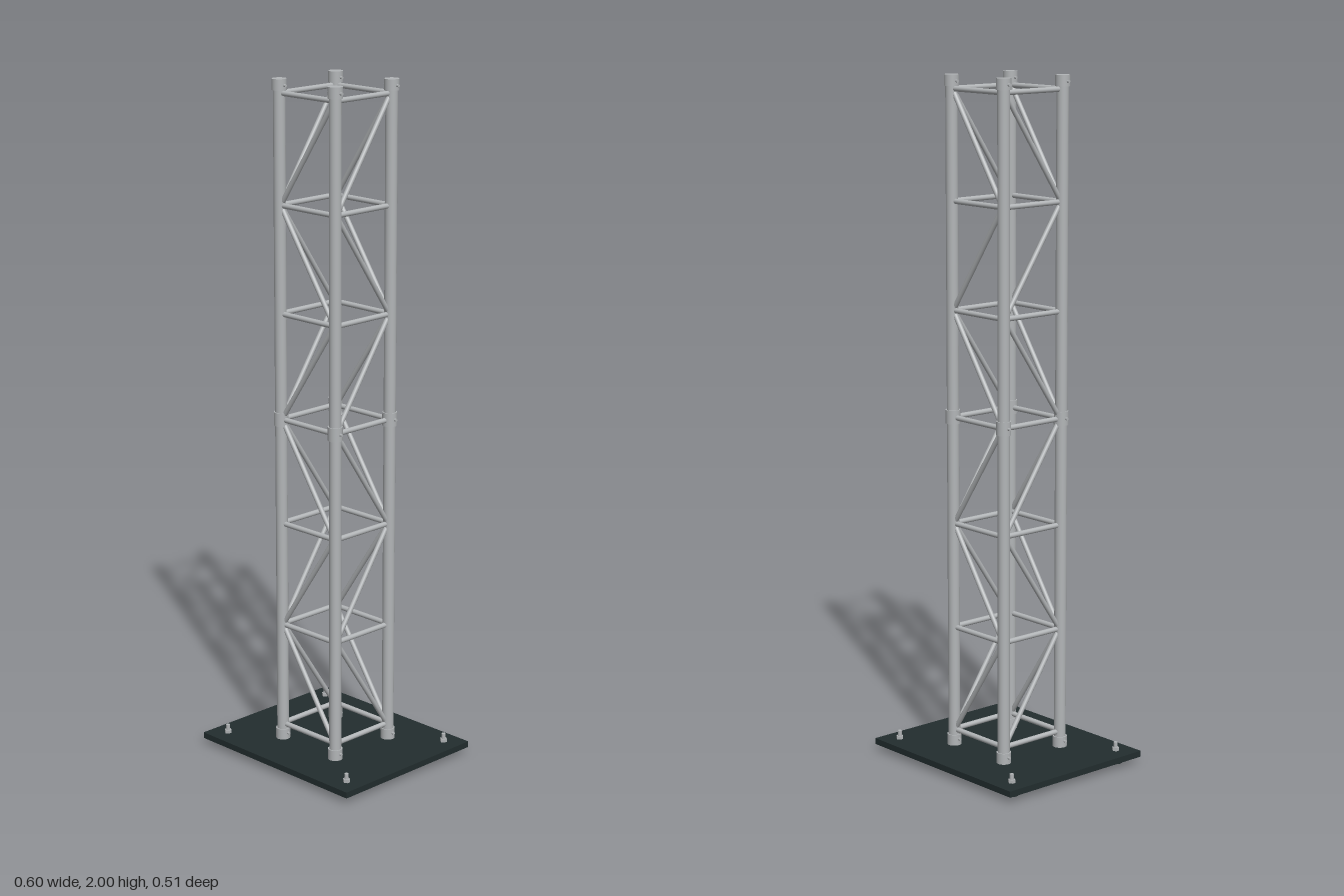
import * as THREE from 'three';

export function createModel() {
  const root = new THREE.Group();
  root.name = 'trussTower';
  const material = (name, color) => {
    const m = new THREE.MeshStandardMaterial({ color });
    m.name = name;
    return m;
  };
  const aluminium = material('aluminium', 0xb2b5b7);
  const darkSteel = material('dark steel', 0x222d2e);

  const group = (name) => {
    const g = new THREE.Group();
    g.name = name;
    root.add(g);
    return g;
  };

  // Round or hexagonal bar between two points
  const up = new THREE.Vector3(0, 1, 0);
  function bar(parent, name, a, b, radius, sides = 16, mat = aluminium) {
    const start = new THREE.Vector3(...a);
    const dir = new THREE.Vector3(...b).sub(start);
    let geo = new THREE.CylinderGeometry(radius, radius, dir.length(), sides);
    if (sides === 6) {
      geo = geo.toNonIndexed();
      geo.computeVertexNormals();
    }
    const mesh = new THREE.Mesh(geo, mat);
    mesh.name = name;
    mesh.position.copy(start).addScaledVector(dir, 0.5);
    mesh.quaternion.setFromUnitVectors(up, dir.normalize());
    parent.add(mesh);
  }

  const half = 0.11;
  const plateBottom = 0.018, plateTop = 0.036;
  const signs = [-1, 1];

  // Base plate with feet and levelling bolts
  const base = group('base');
  const plate = new THREE.Mesh(new THREE.BoxGeometry(0.604, plateTop - plateBottom, 0.512), darkSteel);
  plate.name = 'basePlate';
  plate.position.y = (plateTop + plateBottom) / 2;
  base.add(plate);
  for (const sx of signs) for (const sz of signs) {
    const x = sx * 0.25, z = sz * 0.204;
    bar(base, 'foot', [x, 0, z], [x, plateBottom, z], 0.02, 24, darkSteel);
    bar(base, 'boltNut', [x, plateTop, z], [x, 0.046, z], 0.0105, 6);
    bar(base, 'boltStud', [x, 0.046, z], [x, 0.062, z], 0.006);
  }

  // Four main tubes with coupling collars and locking pins
  const collars = [[plateTop, 0.068, 0.055], [1.004, 1.044, 1.024], [1.968, 2, 1.982]];
  const chords = group('chords');
  for (const sx of signs) for (const sz of signs) {
    const x = sx * half, z = sz * half;
    bar(chords, 'mainTube', [x, plateTop, z], [x, 1.998, z], 0.0175, 24);
    for (const [y0, y1, pinY] of collars) {
      bar(chords, 'collar', [x, y0, z], [x, y1, z], 0.0212, 24);
      bar(chords, 'lockingPin', [x - 0.027, pinY, z], [x + 0.027, pinY, z], 0.0042, 12);
    }
  }

  // Rungs and zigzag diagonals, the same on opposite faces
  const levels = [0.082, 0.396, 0.708, 1.022, 1.333, 1.645, 1.96];
  const bracing = group('bracing');
  const faces = [
    (s, u, y) => [u, y, s * half],
    (s, u, y) => [s * half, y, -u],
  ];
  for (const at of faces) for (const s of signs) {
    levels.forEach((y, i) => {
      bar(bracing, 'rung', at(s, -half, y), at(s, half, y), 0.0076);
      if (i === levels.length - 1) return;
      const side = i % 2 ? -1 : 1;
      const reach = half - 0.012;
      bar(bracing, 'diagonal', at(s, side * reach, y + 0.012), at(s, -side * reach, levels[i + 1] - 0.012), 0.0072);
    });
  }
  return root;
}
